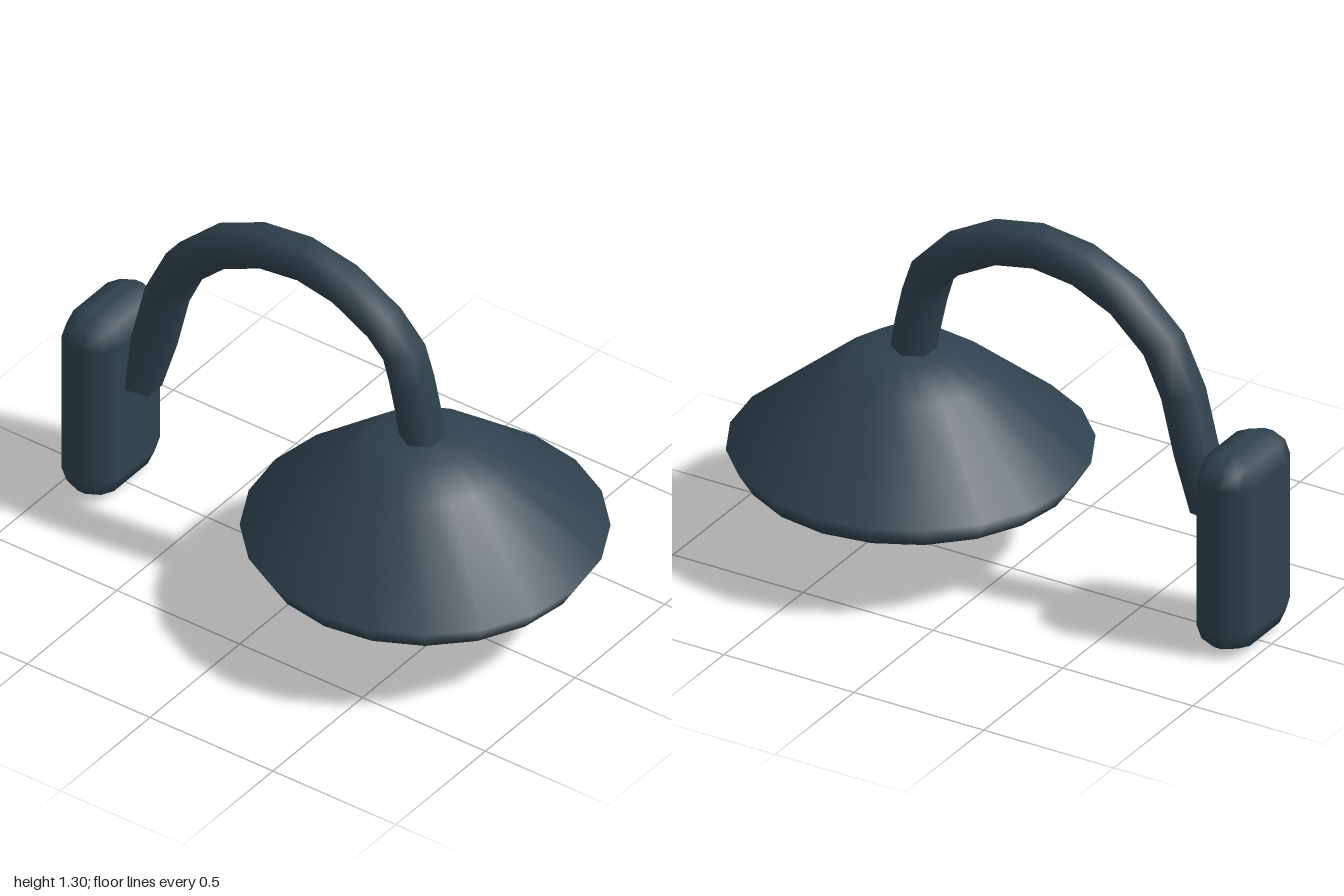
import * as THREE from 'three';

export function createModel() {
  const metal = new THREE.MeshStandardMaterial({ color: 0x30424e });
  metal.name = 'dark slate metal';
  const glass = new THREE.MeshStandardMaterial({ color: 0xdfca9a });
  glass.name = 'warm glass';

  const model = new THREE.Group();
  model.name = 'wallLamp';
  const add = (name, geometry, material, x = 0, y = 0, z = 0, parent = model) => {
    const mesh = new THREE.Mesh(geometry, material);
    mesh.name = name;
    mesh.position.set(x, y, z);
    parent.add(mesh);
    return mesh;
  };

  // Wall plate: box with a two-step rounded edge
  const half = [0.19, 0.3625, 0.11], r = 0.095;
  const plate = new THREE.BoxGeometry(2, 2, 2, 3, 3, 3);
  const pos = plate.attributes.position, nor = plate.attributes.normal;
  for (let i = 0; i < pos.count; i++) {
    const c = [pos.getX(i), pos.getY(i), pos.getZ(i)];
    const dir = new THREE.Vector3(...c.map(v => (Math.abs(v) > 0.9 ? Math.sign(v) : 0))).normalize();
    const core = c.map((v, k) => Math.sign(v) * (half[k] - r));
    pos.setXYZ(i, core[0] + r * dir.x, core[1] + r * dir.y, core[2] + r * dir.z);
    nor.setXYZ(i, dir.x, dir.y, dir.z);
  }
  add('wallPlate', plate, metal, 0, 0.3625, -0.89);

  // Gooseneck arm: six-sided tube with one ring at each path point
  const path = [
    [0.385, 0.68], [0.36, 0.825], [0.335, 0.935], [0.305, 1.03], [0.224, 1.115],
    [0.064, 1.203], [-0.1, 1.235], [-0.273, 1.214], [-0.438, 1.139],
    [-0.583, 1.005], [-0.66, 0.843], [-0.71, 0.64], [-0.772, 0.446],
  ].map(([z, y]) => new THREE.Vector3(0, y, z));
  const curve = new THREE.CatmullRomCurve3(path);
  curve.getPointAt = (t, target) => curve.getPoint(t, target);
  curve.getTangentAt = (t, target) => curve.getTangent(t, target);
  const arm = new THREE.Group();
  arm.name = 'arm';
  model.add(arm);
  add('armTube', new THREE.TubeGeometry(curve, path.length - 1, 0.077, 6), metal, 0, 0, 0, arm);

  // Flat caps on both arm ends
  [[0, -1], [1, 1]].forEach(([t, sign]) => {
    const p = curve.getPoint(t);
    const cap = add('armEndCap', new THREE.CircleGeometry(0.077, 6), metal, p.x, p.y, p.z, arm);
    cap.lookAt(p.clone().addScaledVector(curve.getTangent(t), sign));
  });

  // Shade: closed, smooth conical profile
  const profile = [[0, 0.28], [0.56, 0.28], [0.61, 0.36], [0.275, 0.64], [0.155, 0.723], [0, 0.723]]
    .map(([x, y]) => new THREE.Vector2(x, y));
  add('shade', new THREE.LatheGeometry(profile, 20), metal, 0, 0, 0.39);

  // Bulb: slightly flattened sphere below the shade
  const bulb = new THREE.SphereGeometry(0.25, 16, 8).scale(1, 0.78, 1);
  add('bulb', bulb, glass, 0, 0.21, 0.39);

  return model;
}
